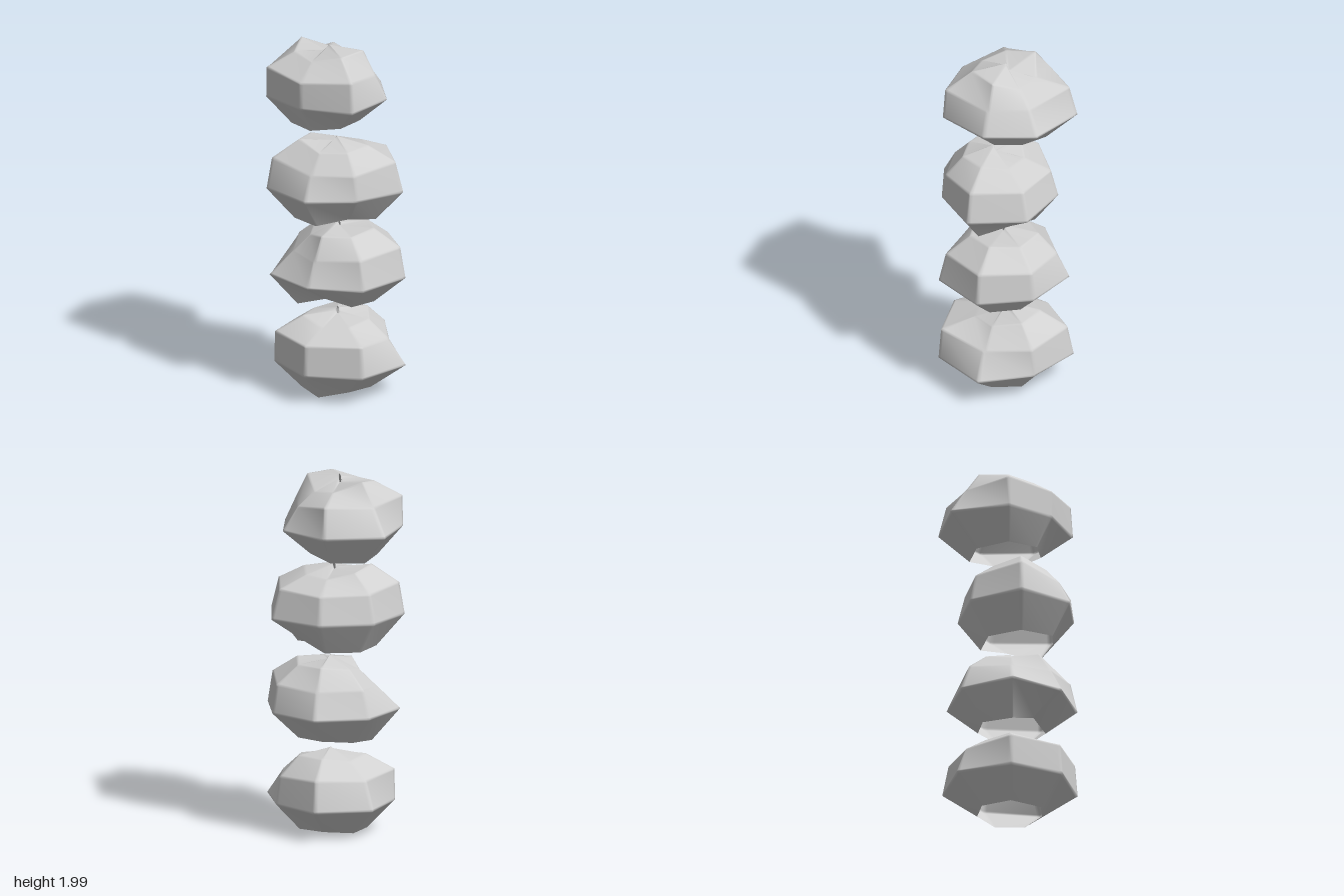
import * as THREE from 'three';

const SIDES = 7;
// height of each ring's vertex as a multiple of its radius: base, waist, shoulder, crown
const RISE = [-0.78, 0, 0.5, 1.36];
// samples along each edge: the narrow end strips soften the edges between facets
const STEPS = [0, 0.06, 0.94];

// c: waist centre; tip: height of the peak, its tilt, and the side it is highest on;
// rings: radii per side, from the open base to the crown
const STONES = [
  { c: [0.01, 0.17, -0.01], tip: [0.28, 0.02, 5], rings: [
    [0.19, 0.18, 0.212, 0.2, 0.2, 0.185, 0.19],
    [0.39, 0.38, 0.36, 0.35, 0.376, 0.38, 0.33],
    [0.29, 0.365, 0.345, 0.347, 0.31, 0.345, 0.31],
    [0.18, 0.17, 0.165, 0.19, 0.18, 0.195, 0.195]] },
  { c: [0.02, 0.68, -0.005], tip: [0.285, 0.02, 4], rings: [
    [0.2, 0.19, 0.15, 0.23, 0.205, 0.19, 0.19],
    [0.38, 0.37, 0.345, 0.385, 0.36, 0.365, 0.345],
    [0.35, 0.33, 0.27, 0.255, 0.3, 0.295, 0.32],
    [0.2, 0.19, 0.19, 0.16, 0.18, 0.195, 0.19]] },
  { c: [0.02, 1.2, 0.05], tip: [0.27, 0.02, 0.8], rings: [
    [0.225, 0.18, 0.22, 0.23, 0.23, 0.225, 0.18],
    [0.385, 0.3, 0.34, 0.385, 0.36, 0.354, 0.38],
    [0.34, 0.28, 0.268, 0.355, 0.32, 0.313, 0.33],
    [0.185, 0.18, 0.175, 0.205, 0.19, 0.165, 0.17]] },
  { c: [-0.04, 1.71, 0], tip: [0.265, 0.025, 0.8], rings: [
    [0.178, 0.185, 0.2, 0.205, 0.222, 0.215, 0.18],
    [0.335, 0.366, 0.302, 0.344, 0.405, 0.39, 0.345],
    [0.27, 0.353, 0.302, 0.342, 0.3, 0.345, 0.255],
    [0.2, 0.2, 0.175, 0.186, 0.205, 0.16, 0.15]] },
];

const sideAngle = (k) => (k / SIDES) * Math.PI * 2;

function ringPoint(r, y, k) {
  return new THREE.Vector3(r * Math.cos(sideAngle(k)), y, r * Math.sin(sideAngle(k)));
}

function stoneGeometry({ rings, tip: [height, tilt, side] }) {
  // corner points, closed by a tiny tilted ring at the tip
  const corners = rings.map((ring, i) => ring.map((r, k) => ringPoint(r, r * RISE[i], k)));
  corners.push(rings[0].map((_, k) =>
    ringPoint(0.007, height + tilt * Math.cos(sideAngle(k - side)), k)));

  // resample around each ring, then up between the rings
  const loops = corners.map((ring) => ring.flatMap((p, k) =>
    STEPS.map((t) => p.clone().lerp(ring[(k + 1) % SIDES], t))));
  const rows = [];
  for (let i = 0; i < loops.length - 1; i++) {
    for (const t of STEPS) rows.push(loops[i].map((p, k) => p.clone().lerp(loops[i + 1][k], t)));
  }
  rows.push(loops[loops.length - 1]);

  const cols = SIDES * STEPS.length, index = [];
  for (let i = 0; i < rows.length - 1; i++) {
    for (let k = 0; k < cols; k++) {
      const a = i * cols + k, b = i * cols + (k + 1) % cols;
      index.push(a, a + cols, b + cols, a, b + cols, b);
    }
  }
  const geo = new THREE.BufferGeometry().setFromPoints(rows.flat());
  geo.setIndex(index);
  geo.computeVertexNormals();
  return geo;
}

export function createModel() {
  const group = new THREE.Group();
  group.name = 'stoneStack';
  // double sided because each stone is open underneath
  const grey = new THREE.MeshStandardMaterial({ color: 0xd0d0d0, side: THREE.DoubleSide });
  grey.name = 'stone grey';
  STONES.forEach((s, i) => {
    const stone = new THREE.Mesh(stoneGeometry(s), grey);
    stone.name = `stone${i + 1}`;
    stone.position.set(...s.c);
    group.add(stone);
  });
  return group;
}
